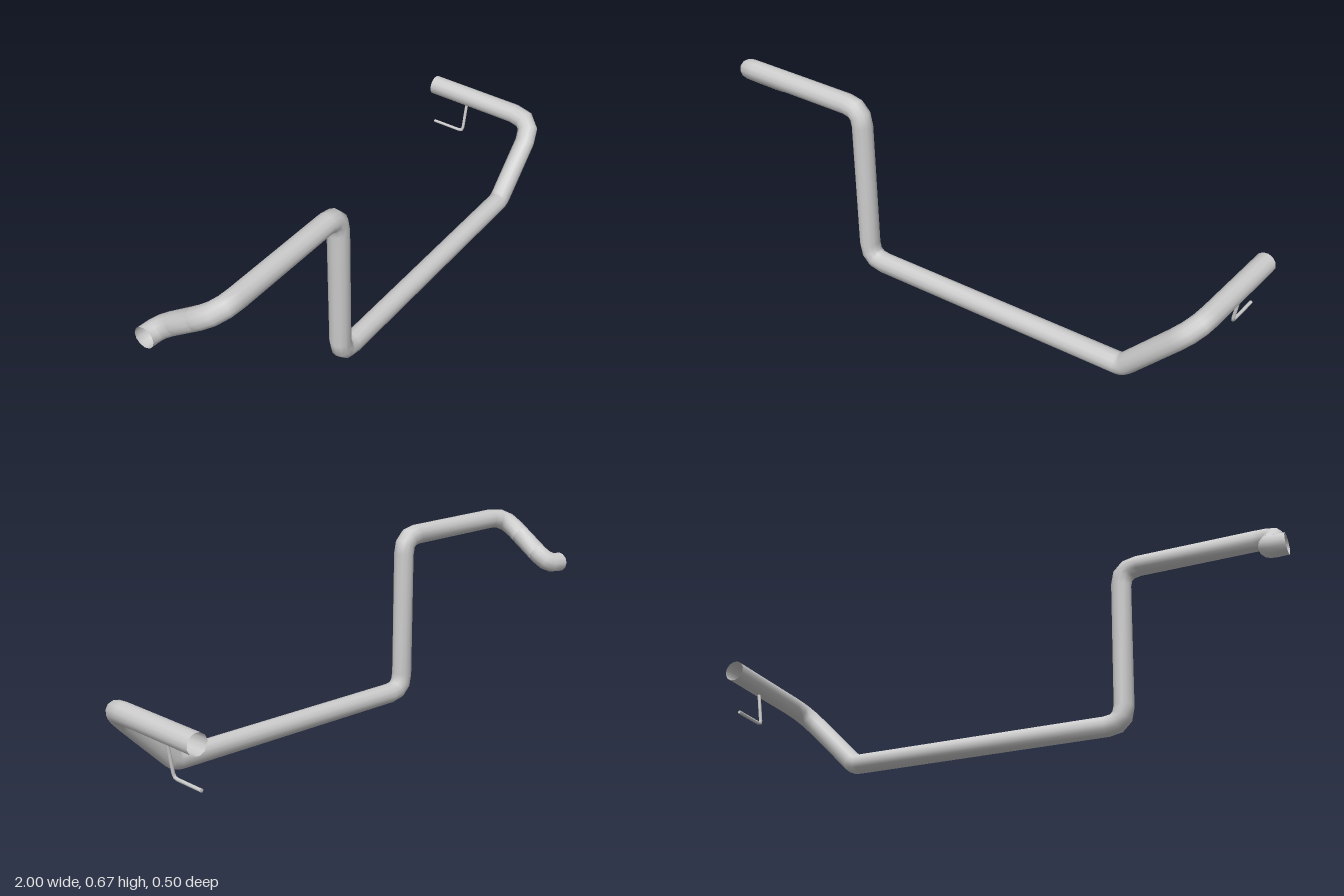
import * as THREE from 'three';

const V = (x, y, z) => new THREE.Vector3(x, y, z);

// Replaces each inner corner of a polyline with a short faceted bend.
// cuts[i] is how far from the corner the bend begins.
function roundCorners(corners, cuts, steps = 3) {
  const path = [corners[0]];
  for (let i = 1; i < corners.length - 1; i++) {
    const c = corners[i], cut = cuts[i - 1];
    const toward = (p) => c.clone().add(p.clone().sub(c).setLength(cut));
    const bend = new THREE.QuadraticBezierCurve3(toward(corners[i - 1]), c, toward(corners[i + 1]));
    path.push(...bend.getPoints(steps));
  }
  path.push(corners[corners.length - 1]);
  return path;
}

// Sweeps a circle along the path with mitred joints, so the bore stays constant.
function sweep(path, radius, sides, capped = false) {
  const dirs = path.slice(1).map((p, i) => p.clone().sub(path[i]).normalize());
  const d0 = dirs[0];
  const u = V(0, 1, 0).cross(d0);
  if (u.length() < 0.1) u.set(1, 0, 0).cross(d0);
  u.normalize();
  const v = d0.clone().cross(u);
  let ring = [];
  for (let i = 0; i < sides; i++) {
    const a = (i / sides) * Math.PI * 2;
    ring.push(path[0].clone().addScaledVector(u, radius * Math.cos(a)).addScaledVector(v, radius * Math.sin(a)));
  }
  const pos = [], index = [];
  const addRing = () => ring.forEach((p) => pos.push(p.x, p.y, p.z));
  addRing();
  for (let k = 1; k < path.length; k++) {
    const d = dirs[k - 1];
    const n = d.clone().add(dirs[k] || d).normalize();
    ring = ring.map((p) => p.clone().addScaledVector(d, path[k].clone().sub(p).dot(n) / d.dot(n)));
    addRing();
    for (let i = 0; i < sides; i++) {
      const j = (i + 1) % sides;
      const a = (k - 1) * sides + i, b = (k - 1) * sides + j;
      const c = k * sides + j, e = k * sides + i;
      index.push(a, b, c, a, c, e);
    }
  }
  if (capped) {
    // the far end is closed with its own vertices to keep a crisp rim
    const base = pos.length / 3;
    addRing();
    for (let i = 1; i < sides - 1; i++) index.push(base, base + i, base + i + 1);
  }
  const geo = new THREE.BufferGeometry();
  geo.setAttribute('position', new THREE.Float32BufferAttribute(pos, 3));
  geo.setIndex(index);
  geo.computeVertexNormals();
  return geo;
}

export function createModel() {
  const group = new THREE.Group();
  const material = new THREE.MeshStandardMaterial({ color: 0xcccccc, side: THREE.DoubleSide });
  const add = (name, geometry) => {
    const mesh = new THREE.Mesh(geometry, material);
    mesh.name = name;
    group.add(mesh);
  };
  const R = 0.037, SIDES = 12;
  const lowerSeam = V(-0.932, 0.517, 0.039);
  const upperSeam = V(-0.93, 0.576, 0.123);

  // Open elbow at the far right end
  add('endElbow', sweep(roundCorners(
    [V(-1, 0.477, -0.023), V(-0.934, 0.474, -0.023), lowerSeam], [0.058]), R, SIDES));

  // Straight joining piece between the two seams
  add('joiningSleeve', sweep([lowerSeam, upperSeam], R, SIDES));

  // Long bent pipe running across the front and back along the left side
  add('mainPipe', sweep(roundCorners([
    upperSeam,
    V(-0.928, 0.639, 0.21),
    V(-0.356, 0.635, 0.21),
    V(-0.346, 0.04, 0.21),
    V(0.715, 0.045, 0.21),
    V(0.955, 0.286, 0.21),
    V(0.96, 0.288, -0.25),
  ], [0.08, 0.065, 0.065, 0.02, 0.09]), R, SIDES));

  // Thin bent rod hanging below the left pipe
  add('hangerRod', sweep(roundCorners([
    V(0.957, 0.258, -0.095),
    V(0.936, 0.133, -0.096),
    V(0.936, 0.133, -0.23),
  ], [0.016], 2), 0.006, 8, true));

  return group;
}
